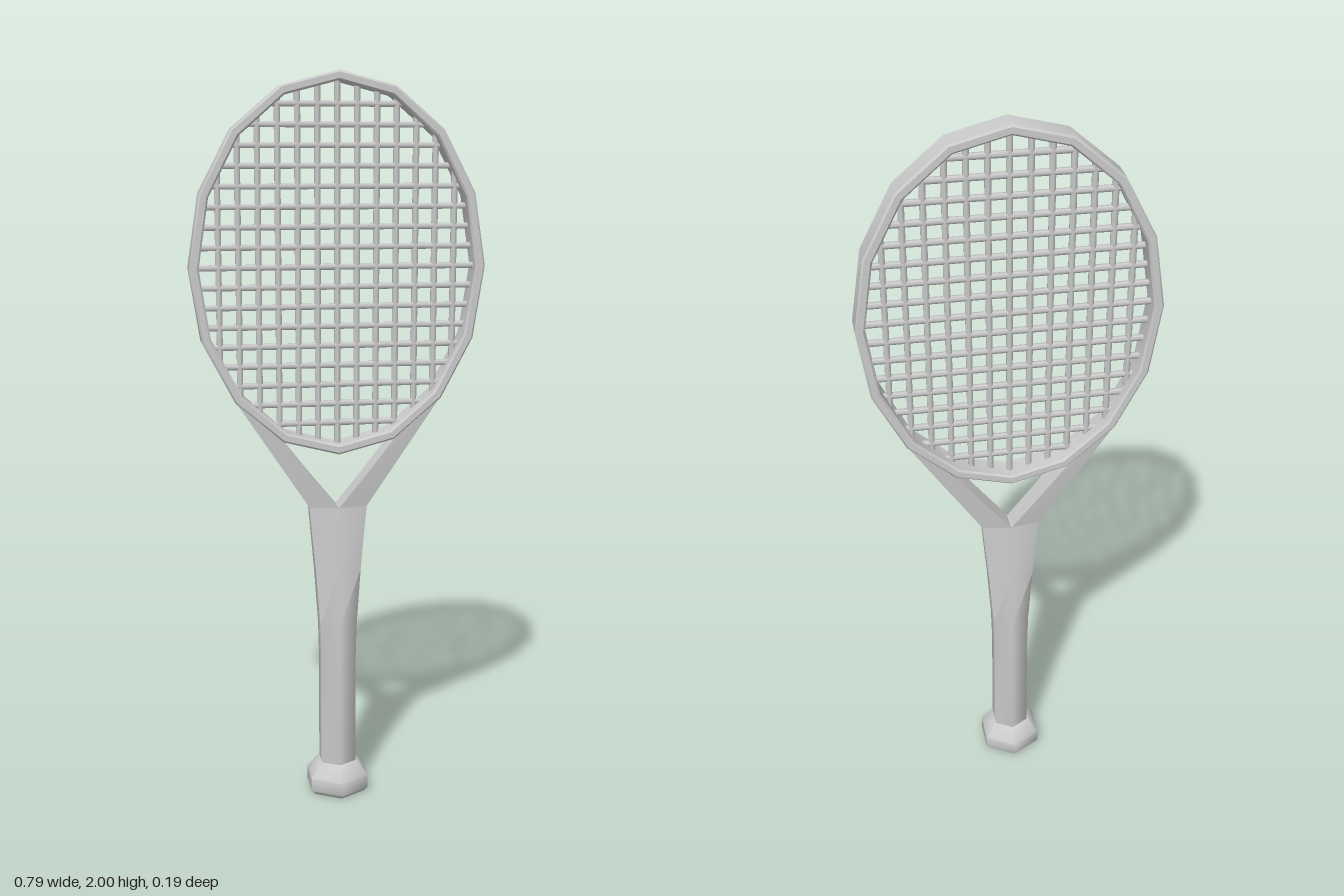
import * as THREE from 'three';
import { toCreasedNormals } from 'three/addons/utils/BufferGeometryUtils.js';

const material = new THREE.MeshStandardMaterial({ color: 0xcccccc });

// Skins a list of equal-length rings of [x, y, z], counter-clockwise about the direction of travel
function loft(rings, caps, crease) {
  const n = rings[0].length, last = (rings.length - 1) * n, index = [];
  for (let i = 0; i < rings.length - 1; i++) {
    for (let j = 0; j < n; j++) {
      const a = i * n + j, b = i * n + (j + 1) % n;
      index.push(a, b, b + n, a, b + n, a + n);
    }
  }
  if (caps) {
    for (let j = 1; j < n - 1; j++) index.push(0, j + 1, j, last, last + j, last + j + 1);
  }
  const geometry = new THREE.BufferGeometry();
  geometry.setAttribute('position', new THREE.Float32BufferAttribute(rings.flat(2), 3));
  geometry.setIndex(index);
  return toCreasedNormals(geometry, crease);
}

// Six-sided ring with a corner at front and back; rx is the half width, rz the half depth
function hexRing([y, rx, rz]) {
  return Array.from({ length: 6 }, (_, j) => {
    const a = j * Math.PI / 3;
    return [rx * Math.sin(a) / Math.sin(Math.PI / 3), y, rz * Math.cos(a)];
  });
}

export function createModel() {
  const racket = new THREE.Group();
  racket.name = 'racket';
  const add = (name, geometry, parent = racket) => {
    const mesh = new THREE.Mesh(geometry, material);
    mesh.name = name;
    parent.add(mesh);
    return mesh;
  };

  // Sixteen-sided oval rim with small chamfers
  const CY = 1.495, RX = 0.396, RY = 0.505, T = 0.026, D = 0.038, C = 0.005;
  const section = [
    [0, D - C], [-C, D], [-T + C, D], [-T, D - C],
    [-T, C - D], [C - T, -D], [-C, -D], [0, C - D],
  ];
  const rimRings = Array.from({ length: 17 }, (_, i) => {
    const t = i * Math.PI / 8;
    return section.map(([r, z]) => [(RX + r) * Math.sin(t), CY + (RY + r) * Math.cos(t), z]);
  });
  add('rim', loft(rimRings, false, 0.6));

  // Strings, cut to the oval
  const strings = new THREE.Group();
  strings.name = 'strings';
  racket.add(strings);
  const pitch = 0.0527, sx = 0.38, sy = 0.488;
  const addString = (name, length) => add(name, new THREE.CylinderGeometry(0.009, 0.009, length, 6), strings);
  for (let i = -6; i <= 6; i++) {
    const x = i * pitch;
    addString('mainString', 2 * sy * Math.sqrt(1 - (x / sx) ** 2)).position.set(x, CY, 0);
  }
  for (let i = -8; i <= 8; i++) {
    const y = i * pitch;
    const string = addString('crossString', 2 * sx * Math.sqrt(1 - (y / sy) ** 2));
    string.rotation.z = Math.PI / 2;
    string.position.set(0, CY + y, 0);
  }

  // Throat arms, from the top of the shaft to the rim
  for (const side of [1, -1]) {
    const ring = (xi, yi, zi, xo, yo, zo) => {
      const r = [[xi, yi, zi], [xo, yo, zo], [xo, yo, -zo], [xi, yi, -zi]].map(([x, y, z]) => [side * x, y, z]);
      return side > 0 ? r : r.reverse();
    };
    add(side > 0 ? 'leftThroatArm' : 'rightThroatArm', loft([
      ring(0, 0.838, 0.031, 0.08, 0.84, 0.02),
      ring(0.075, 0.93, 0.033, 0.172, 0.98, 0.028),
      ring(0.153, 1.03, 0.035, 0.278, 1.14, 0.034),
    ], true, 0.6));
  }

  // Handle, widening sideways and thinning in depth towards the throat
  add('handle', loft([
    [0.07, 0.048, 0.056], [0.4, 0.048, 0.056], [0.5, 0.051, 0.053],
    [0.66, 0.063, 0.042], [0.84, 0.08, 0.031],
  ].map(hexRing), true, 1.1));

  // Flared butt cap
  add('buttCap', loft([
    [0, 0.07, 0.081], [0.012, 0.08, 0.093], [0.05, 0.08, 0.093], [0.09, 0.051, 0.06],
  ].map(hexRing), true, 1.1));

  return racket;
}
